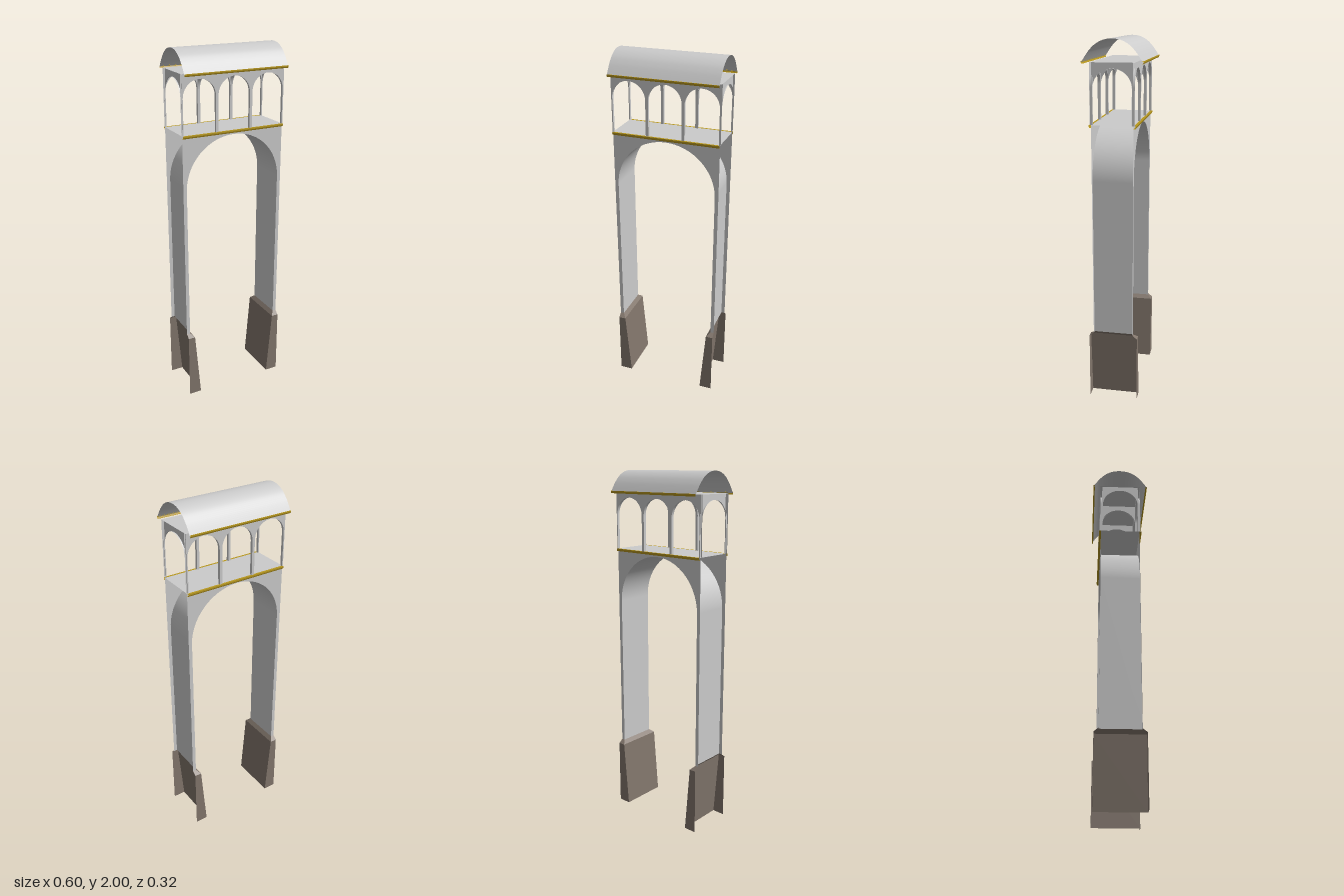
import * as THREE from 'three';

const HALF = 0.3; // half length of the bay
const material = (color, flatShading = false) =>
  new THREE.MeshStandardMaterial({ color, flatShading, side: THREE.DoubleSide });
const grey = material(0xcccccc);
const gold = material(0xb8981f, true);
const stone = material(0x82766c, true);

function add(parent, name, geometry, mat) {
  const mesh = new THREE.Mesh(geometry, mat);
  mesh.name = name;
  parent.add(mesh);
  return mesh;
}

// Joins rows of equally many points [x, y, z] into a surface
function loft(rows) {
  const n = rows[0].length, index = [];
  for (let r = 0; r < rows.length - 1; r++)
    for (let i = 0; i < n - 1; i++) {
      const a = r * n + i, b = a + n;
      index.push(a, a + 1, b, a + 1, b + 1, b);
    }
  const g = new THREE.BufferGeometry();
  g.setAttribute('position', new THREE.Float32BufferAttribute(rows.flat(2), 3));
  g.setIndex(index);
  g.computeVertexNormals();
  return g;
}

// Sweeps an open x-y profile along z, without end caps
const sweep = (points, z0, z1) =>
  loft([z0, z1].map(z => points.map(p => [p.x, p.y, z])));

// Outline of an arched opening, from its left foot to its right foot
function archPath(cx, halfWidth, foot, spring, crown, steps = 32) {
  const pts = [new THREE.Vector2(cx - halfWidth, foot)];
  for (let i = 0; i <= steps; i++) {
    const a = Math.PI * (1 - i / steps);
    pts.push(new THREE.Vector2(cx + halfWidth * Math.cos(a), spring + (crown - spring) * Math.sin(a)));
  }
  pts.push(new THREE.Vector2(cx + halfWidth, foot));
  return pts;
}

// Wall pierced by arches: one face per entry of faces, soffits from z0 to z1
function arcadeWall(name, halfWidth, foot, top, arches, faces, z0, z1) {
  const group = new THREE.Group();
  group.name = name;
  const shape = new THREE.Shape([
    new THREE.Vector2(-halfWidth, foot), ...arches.flat(),
    new THREE.Vector2(halfWidth, foot), new THREE.Vector2(halfWidth, top), new THREE.Vector2(-halfWidth, top),
  ]);
  for (const z of faces) {
    const face = add(group, name + 'Face', new THREE.ShapeGeometry(shape), grey);
    face.position.z = z;
    if (z < (z0 + z1) / 2) { // turn the rear face outward
      face.rotation.y = Math.PI;
    }
  }
  for (const arch of arches) add(group, name + 'Soffit', sweep(arch, z0, z1), grey);
  return group;
}

function slab(parent, name, y, depth) {
  const g = new THREE.PlaneGeometry(2 * HALF, depth).rotateX(-Math.PI / 2).translate(0, y, 0);
  return add(parent, name, g, grey);
}

// Small gold moulding running along x at both sides
function trims(parent, name, inner, outer, y0, y1) {
  const mid = (y0 + y1) / 2;
  const profile = [[inner, y0], [outer - 0.003, y0], [outer, mid], [outer, y1], [inner, y1]]
    .map(p => new THREE.Vector2(...p));
  for (const side of [1, -1]) {
    const points = profile.map(p => new THREE.Vector2(p.x * side, p.y));
    add(parent, name, sweep(points, -HALF, HALF), gold).rotation.y = Math.PI / 2;
  }
}

export function createModel() {
  const model = new THREE.Group();
  model.name = 'archBay';

  // Battered pier bases, open towards the neighbouring bays
  const levels = [[0, 0.228, 0.135], [0.38, 0.26, 0.135], [0.4, 0.28, 0.11]];
  for (const side of [1, -1]) {
    const rows = levels.map(([y, x, z]) =>
      [[HALF, -z], [x, -z], [x, z], [HALF, z]].map(([px, pz]) => [px * side, y, pz]));
    add(model, side > 0 ? 'leftPierBase' : 'rightPierBase', loft(rows), stone);
  }

  // Tall main arch and the deck over it
  model.add(arcadeWall('mainArch', HALF, 0.4, 1.57,
    [archPath(0, 0.28, 0.4, 1.27, 1.547, 48)], [0.11, -0.11], -0.11, 0.11));
  slab(model, 'deck', 1.57, 0.22);
  trims(model, 'deckTrim', 0.11, 0.122, 1.556, 1.57);

  // Three-arched gallery walls along both sides
  const openings = [[-0.2008, 0.0932], [0, 0.0925], [0.2008, 0.0932]];
  for (const side of [1, -1]) {
    const arches = openings.map(([cx, hw]) => archPath(cx, hw, 1.57, 1.762, 1.855, 24));
    const z0 = side > 0 ? 0.101 : -0.116, z1 = z0 + 0.015;
    model.add(arcadeWall('galleryArcade', HALF, 1.57, 1.885, arches, [z0, z1], z0, z1));
  }

  // Cross arches between facing columns; the end ones are half as thick
  const crossArches = [
    [-0.3, -0.294, [-0.294]], [-0.1075, -0.0925, [-0.1075, -0.0925]],
    [0.0925, 0.1075, [0.0925, 0.1075]], [0.294, 0.3, [0.294]],
  ];
  for (const [x0, x1, faces] of crossArches) {
    const wall = arcadeWall('crossArch', 0.106, 1.755, 1.885,
      [archPath(0, 0.101, 1.755, 1.757, 1.855, 24)], faces, x0, x1);
    wall.rotation.y = Math.PI / 2;
    model.add(wall);
  }
  slab(model, 'ceiling', 1.885, 0.232);

  // Barrel roof with slightly splayed eaves
  const half = [[0.156, 1.885], [0.136, 1.916], [0.115, 1.944], [0.086, 1.972], [0.046, 1.993]];
  const curve = new THREE.SplineCurve([
    ...half.map(([z, y]) => new THREE.Vector2(-z, y)), new THREE.Vector2(0, 2),
    ...half.reverse().map(([z, y]) => new THREE.Vector2(z, y)),
  ]);
  add(model, 'roof', sweep(curve.getPoints(40), -HALF, HALF), grey).rotation.y = Math.PI / 2;
  trims(model, 'eaveTrim', 0.15, 0.158, 1.877, 1.89);

  return model;
}
